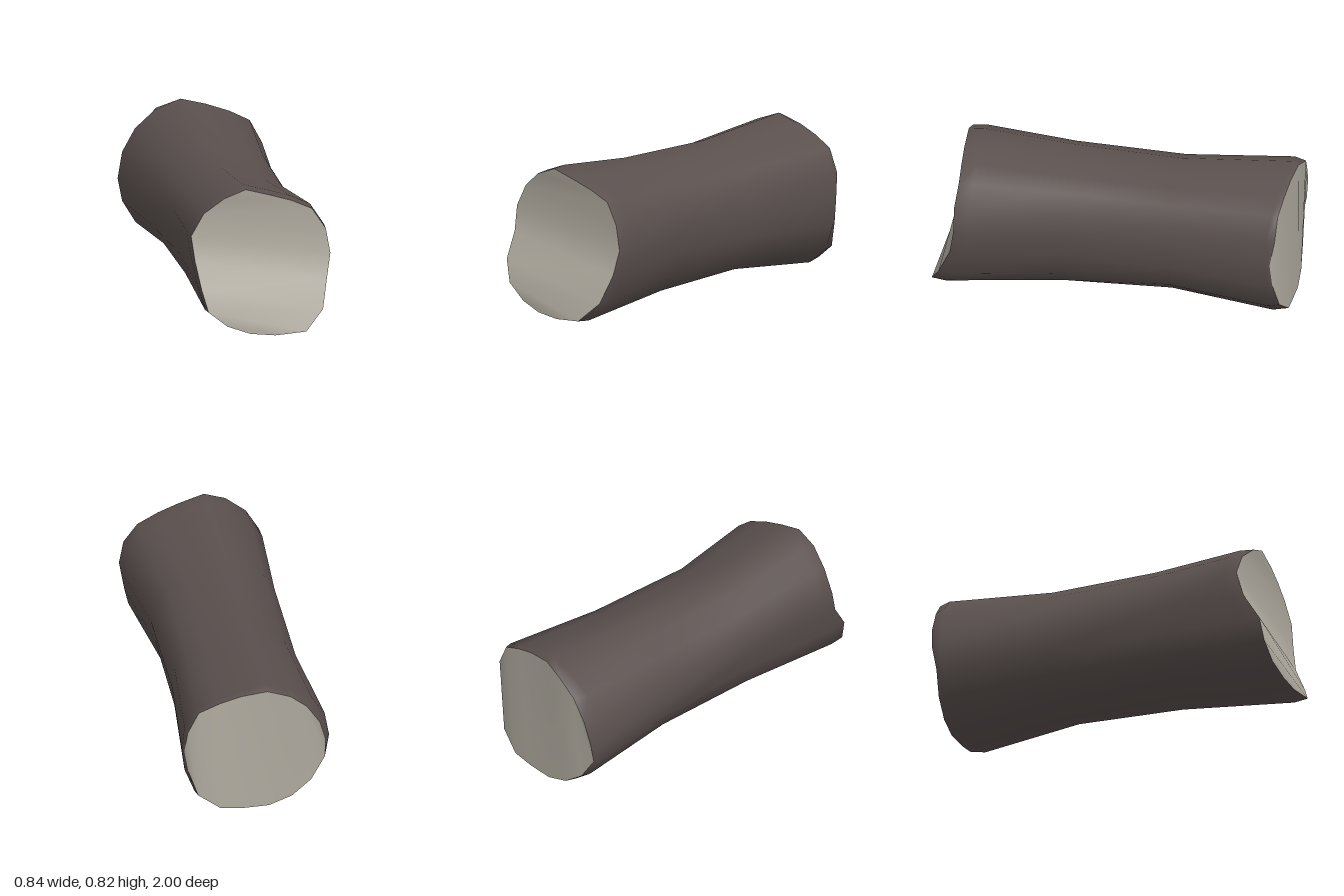
import * as THREE from 'three';

const SIDES = 18;
const bark = new THREE.MeshStandardMaterial({ name: 'dark bark', color: 0x5a504e });
const wood = new THREE.MeshStandardMaterial({ name: 'pale cut wood', color: 0xb0aba0 });

// Cut outlines, clockwise from the top as seen from +z: [x, y, z]
const frontRim = [
  [-0.06, 0.81, 0.86], [0.08, 0.77, 0.855], [0.2, 0.73, 0.845], [0.315, 0.675, 0.835],
  [0.39, 0.56, 0.845], [0.415, 0.42, 0.845], [0.39, 0.28, 0.87], [0.355, 0.13, 0.94],
  [0.25, 0.025, 1.0], [0.08, 0.01, 0.99], [-0.06, 0.025, 0.985], [-0.185, 0.07, 0.975],
  [-0.29, 0.155, 0.97], [-0.325, 0.28, 0.955], [-0.345, 0.42, 0.87], [-0.36, 0.555, 0.835],
  [-0.29, 0.68, 0.84], [-0.18, 0.765, 0.86],
];
const backRim = [
  [-0.06, 0.8, -0.985], [0.08, 0.775, -0.97], [0.2, 0.735, -0.96], [0.315, 0.68, -0.95],
  [0.375, 0.55, -0.945], [0.39, 0.41, -0.92], [0.37, 0.28, -0.93], [0.32, 0.13, -0.96],
  [0.2, 0.045, -0.985], [0.08, 0.025, -0.98], [-0.07, 0.025, -0.98], [-0.2, 0.065, -0.97],
  [-0.31, 0.15, -0.955], [-0.39, 0.28, -0.935], [-0.39, 0.41, -0.96], [-0.355, 0.545, -0.975],
  [-0.28, 0.67, -0.985], [-0.185, 0.76, -1.0],
];
// Widest outline just inside the back cut, leaning back at the top
const backBulge = [
  [-0.06, 0.82], [0.08, 0.785], [0.21, 0.74], [0.32, 0.685], [0.385, 0.56], [0.4, 0.41],
  [0.385, 0.27], [0.33, 0.12], [0.21, 0.03], [0.08, 0.003], [-0.08, 0.003], [-0.21, 0.055],
  [-0.32, 0.145], [-0.395, 0.27], [-0.42, 0.4], [-0.395, 0.55], [-0.32, 0.675], [-0.21, 0.765],
].map(([x, y]) => [x, y, -0.9 - Math.max(0, y - 0.6) * 0.2]);

// Narrow waist ring: an end outline shrunk about its middle and moved to z
function waistRing(ring, z, [fromX, toX], scaleX, scaleY) {
  return ring.map(([x, y]) => [
    toX + (x - fromX) * scaleX, 0.413 + (y - 0.41) * scaleY, z,
  ]);
}

function makeMesh(name, points, index, material) {
  const geo = new THREE.BufferGeometry();
  geo.setAttribute('position', new THREE.Float32BufferAttribute(points.flat(), 3));
  geo.setIndex(index);
  geo.computeVertexNormals();
  const mesh = new THREE.Mesh(geo, material);
  mesh.name = name;
  return mesh;
}

// Smooth skin through the rings from back to front
function makeSkin(rings) {
  const index = [];
  for (let j = 0; j < rings.length - 1; j++) {
    for (let i = 0; i < SIDES; i++) {
      const k = (i + 1) % SIDES;
      const a = j * SIDES + i, b = a + SIDES;
      const c = (j + 1) * SIDES + k, d = j * SIDES + k;
      index.push(a, b, c, a, c, d);
    }
  }
  return makeMesh('bark', rings.flat(), index, bark);
}

// Cut face filled with strips, walking both ways round the rim from l and r
function makeCut(name, rim, l, r, facesFront) {
  const index = [];
  const add = (a, b, c) => {
    if (a !== b && b !== c && a !== c) index.push(...(facesFront ? [a, b, c] : [a, c, b]));
  };
  for (let k = 0; k < 9; k++) {
    const l0 = (l - k + SIDES) % SIDES, l1 = (l - k - 1 + SIDES) % SIDES;
    const r0 = (r + k) % SIDES, r1 = (r + k + 1) % SIDES;
    add(l0, l1, r1);
    add(l0, r1, r0);
  }
  return makeMesh(name, rim, index, wood);
}

export function createModel() {
  const group = new THREE.Group();
  group.name = 'log';
  // Front bulge follows the slanted cut, set slightly back and out
  const frontBulge = frontRim.map(([x, y, z]) => [
    0.02 + (x - 0.02) * 1.015, 0.41 + (y - 0.41) * 1.02, z - 0.08,
  ]);
  group.add(
    makeSkin([
      backRim, backBulge,
      waistRing(backBulge, -0.33, [-0.01, -0.01], 0.866, 0.868),
      waistRing(frontRim, 0.28, [0.02, -0.005], 0.89, 0.895),
      frontBulge, frontRim,
    ]),
    // Front strips run level, back strips run upright
    makeCut('frontCut', frontRim, 0, 1, true),
    makeCut('backCut', backRim, 5, 5, false),
  );
  return group;
}
